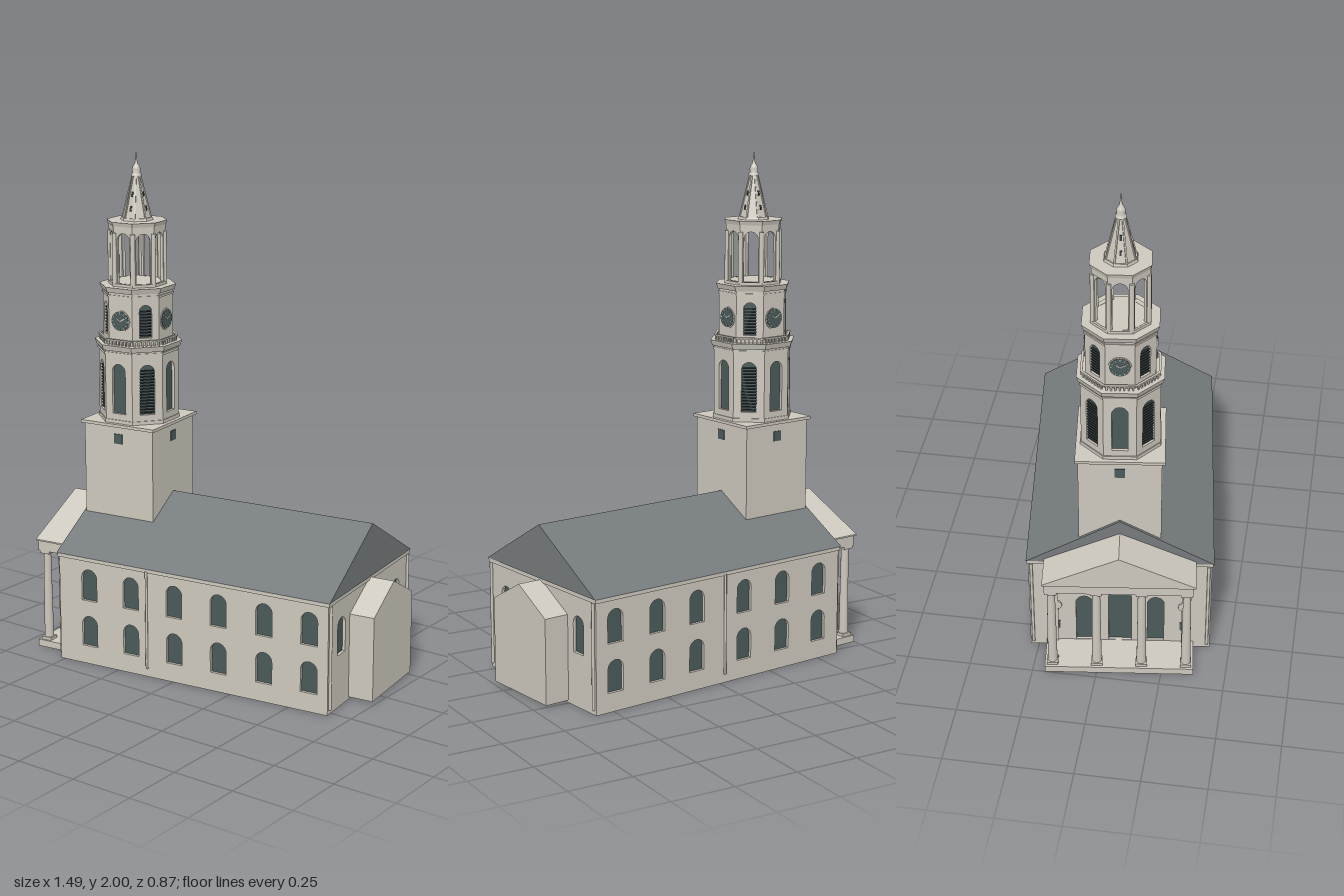
import * as THREE from 'three';

const mat = (name, color) => Object.assign(new THREE.MeshStandardMaterial({ color }), { name });

export function createModel() {
  const stone = mat('stone', 0xcdc8bd);
  const slate = mat('slate', 0x757a7c);
  const glass = mat('glass', 0x4a5a5a);
  const dark = mat('dark louvre', 0x2c3535);

  const model = new THREE.Group();
  model.name = 'church';
  // The whole building is turned slightly on its plot
  const site = new THREE.Group();
  site.name = 'building';
  site.position.set(0.03, 0, -0.0025);
  site.rotation.y = 0.12;
  model.add(site);

  const add = (parent, name, geo, material, x = 0, y = 0, z = 0) => {
    const m = new THREE.Mesh(geo, material);
    m.name = name;
    m.position.set(x, y, z);
    parent.add(m);
    return m;
  };
  // Box given by its ranges
  const block = (parent, name, material, x0, x1, y0, y1, z0, z1) =>
    add(parent, name, new THREE.BoxGeometry(x1 - x0, y1 - y0, z1 - z0), material,
      (x0 + x1) / 2, (y0 + y1) / 2, (z0 + z1) / 2);
  // Flat-sided octagon with its flats facing the axes
  const octagon = (parent, name, material, rTop, rBottom, y0, y1) => {
    const g = new THREE.CylinderGeometry(rTop, rBottom, y1 - y0, 8).rotateY(Math.PI / 8).toNonIndexed();
    g.computeVertexNormals();
    return add(parent, name, g, material, 0, (y0 + y1) / 2, 0);
  };
  // Outline of a round-headed opening
  const arch = (Type, x, y0, y1, w) => {
    const p = new Type(), r = w / 2;
    p.moveTo(x - r, y0);
    p.lineTo(x + r, y0);
    p.lineTo(x + r, y1 - r);
    p.absarc(x, y1 - r, r, 0, Math.PI, false);
    p.closePath();
    return p;
  };
  const extrude = (shape, depth) =>
    new THREE.ExtrudeGeometry(shape, { depth, bevelEnabled: false, curveSegments: 8 });
  // Wall slab pierced by openings; openings are [x, y0, y1, width]
  const panel = (width, y0, y1, openings, depth) => {
    const s = new THREE.Shape();
    s.moveTo(-width / 2, y0);
    s.lineTo(width / 2, y0);
    s.lineTo(width / 2, y1);
    s.lineTo(-width / 2, y1);
    s.closePath();
    openings.forEach(o => s.holes.push(arch(THREE.Path, ...o)));
    return extrude(s, depth);
  };
  // Pivot whose +z points out of a wall
  const facing = (parent, name, angle) => {
    const g = new THREE.Group();
    g.name = name;
    g.rotation.y = angle;
    parent.add(g);
    return g;
  };
  // Solid with a gabled outline, running along x
  const gable = (name, material, half, yBase, yEave, yRidge, x0, x1) => {
    const s = new THREE.Shape();
    s.moveTo(-half, yBase);
    s.lineTo(half, yBase);
    if (yEave > yBase) s.lineTo(half, yEave);
    s.lineTo(0, yRidge);
    if (yEave > yBase) s.lineTo(-half, yEave);
    s.closePath();
    add(site, name, extrude(s, x1 - x0).rotateY(Math.PI / 2), material, x0);
  };

  // Nave: glazed core behind pierced walls
  const L = 0.595, W = 0.355, T = 0.012;
  block(site, 'naveGlazing', glass, -L + T, L - T, 0.02, 0.43, -W + T, W - T);
  block(site, 'naveFloor', stone, -L, L, 0, 0.02, -W, W);
  const rows = xs => xs.flatMap(x => [[x, 0.075, 0.2, 0.07], [x, 0.265, 0.395, 0.07]]);
  const south = rows([-0.456, -0.264, -0.068, 0.128, 0.325, 0.516]);
  const north = rows([-0.507, -0.314, -0.125, 0.107, 0.3, 0.49]);
  const east = [-0.243, 0.243].map(x => [x, 0.21, 0.355, 0.066]);
  const west = [[0, 0.03, 0.3, 0.09], [-0.14, 0.03, 0.26, 0.065], [0.14, 0.03, 0.26, 0.065]];
  const wallSpecs = [
    ['southWall', 0, 2 * L, W, south, -0.19],
    ['eastWall', Math.PI / 2, 2 * W, L, east, null],
    ['northWall', Math.PI, 2 * L, W, north, 0.01],
    ['westWall', -Math.PI / 2, 2 * W, L, west, null],
  ];
  for (const [name, angle, width, dist, openings, pipe] of wallSpecs) {
    const f = facing(site, name, angle);
    add(f, name + 'Slab', panel(width, 0, 0.44, openings, T), stone, 0, 0, dist - T);
    if (pipe !== null)
      add(f, 'downpipe', new THREE.CylinderGeometry(0.005, 0.005, 0.4, 8), stone, pipe, 0.235, dist + 0.004);
    // Round plaque and little window beside the doors
    if (name === 'westWall') for (const s of [-1, 1]) {
      add(f, 'plaque', new THREE.CylinderGeometry(0.022, 0.022, 0.008, 20).rotateX(Math.PI / 2), stone, s * 0.25, 0.215, dist + 0.003);
      add(f, 'smallWindow', new THREE.BoxGeometry(0.03, 0.04, 0.006), glass, s * 0.25, 0.11, dist);
    }
  }
  for (const sx of [-1, 1]) for (const sz of [-1, 1])
    add(site, 'cornerPipe', new THREE.CylinderGeometry(0.006, 0.006, 0.41, 8), stone, sx * (L + 0.005), 0.225, sz * (W - 0.012));
  block(site, 'naveCornice', stone, -0.6, 0.6, 0.43, 0.446, -0.36, 0.36);
  gable('naveRoof', slate, 0.363, 0.446, 0.446, 0.655, -0.603, 0.603);

  // East annex
  gable('annex', stone, 0.174, 0.01, 0.345, 0.44, 0.58, 0.696);

  // Portico
  block(site, 'porticoFloor', stone, -0.75, -0.58, 0, 0.028, -0.29, 0.29);
  block(site, 'entablature', stone, -0.743, -0.58, 0.41, 0.455, -0.285, 0.285);
  gable('pediment', stone, 0.293, 0.452, 0.458, 0.595, -0.75, -0.58);
  for (const z of [-0.26, -0.087, 0.087, 0.26]) {
    add(site, 'column', new THREE.CylinderGeometry(0.015, 0.019, 0.37, 16), stone, -0.718, 0.22, z);
    for (const y of [0.034, 0.404])
      add(site, 'columnBlock', new THREE.BoxGeometry(0.044, 0.012, 0.044), stone, -0.718, y, z);
  }
  for (const z of [-0.26, 0.26])
    block(site, 'pilaster', stone, -0.605, -0.59, 0.028, 0.41, z - 0.018, z + 0.018);

  // Square tower
  const tower = new THREE.Group();
  tower.name = 'tower';
  tower.position.x = -0.436;
  site.add(tower);
  block(tower, 'towerShaft', stone, -0.157, 0.157, 0.4, 0.936, -0.157, 0.157);
  block(tower, 'towerCornice', stone, -0.168, 0.168, 0.934, 0.946, -0.168, 0.168);
  for (let i = 0; i < 4; i++)
    add(facing(tower, 'towerFace', i * Math.PI / 2), 'towerWindow',
      new THREE.BoxGeometry(0.038, 0.04, 0.006), glass, 0, 0.885, 0.157);

  // One octagonal storey with pierced faces; core is null when open
  const cos8 = Math.cos(Math.PI / 8);
  const storey = (name, R, y0, y1, core, opening, detail) => {
    const a = R * cos8, side = 2 * R * Math.sin(Math.PI / 8);
    if (core) octagon(tower, name + 'Core', core, R - 0.014, R - 0.014, y0, y1);
    for (let i = 0; i < 8; i++) {
      const f = facing(tower, name + 'Face', i * Math.PI / 4);
      const o = opening(i);
      add(f, name + 'Wall', panel(side, y0, y1, o ? [o] : [], 0.012), stone, 0, 0, a - 0.012);
      if (detail) detail(f, i, a, o);
    }
  };
  const louvres = (f, a, [, y0, y1, w]) => {
    for (let y = y0 + 0.008; y < y1 - w * 0.3; y += 0.012)
      add(f, 'louvre', new THREE.BoxGeometry(w, 0.004, 0.01), dark, 0, y, a - 0.009);
  };

  // Belfry
  octagon(tower, 'belfryBase', stone, 0.164, 0.164, 0.945, 0.96);
  storey('belfry', 0.16, 0.945, 1.24, glass, () => [0, 0.985, 1.185, 0.06],
    (f, i, a, o) => { if (i % 2) louvres(f, a, o); });
  octagon(tower, 'belfryFrieze', stone, 0.164, 0.164, 1.222, 1.232);
  octagon(tower, 'belfryCornice', stone, 0.175, 0.168, 1.238, 1.26);

  // Clock storey with a low balustrade
  storey('clock', 0.14, 1.255, 1.468, glass, i => i % 2 ? [0, 1.29, 1.42, 0.05] : null, (f, i, a, o) => {
    if (o) louvres(f, a, o);
    else {
      const disc = (n, r, d, m) => add(f, n, new THREE.CylinderGeometry(r, r, d, 28).rotateX(Math.PI / 2), m, 0, 1.355, a);
      disc('clockRim', 0.043, 0.006, stone);
      disc('clockFace', 0.039, 0.009, glass);
      for (let k = 0; k < 12; k++) {
        const t = k * Math.PI / 6;
        const tick = add(f, 'hourMark', new THREE.BoxGeometry(0.003, 0.007, 0.002), stone,
          Math.sin(t) * 0.032, 1.355 + Math.cos(t) * 0.032, a + 0.005);
        tick.rotation.z = -t;
      }
      for (const [len, t] of [[0.026, 1.1], [0.019, -0.9]]) {
        const hand = add(f, 'clockHand', new THREE.BoxGeometry(0.004, len, 0.002), stone,
          Math.sin(t) * len / 2, 1.355 + Math.cos(t) * len / 2, a + 0.005);
        hand.rotation.z = -t;
      }
    }
    for (let k = -3; k <= 3; k++)
      add(f, 'baluster', new THREE.BoxGeometry(0.006, 0.02, 0.006), stone, k * 0.016, 1.268, 0.143);
    add(f, 'balustradeRail', new THREE.BoxGeometry(0.12, 0.006, 0.009), stone, 0, 1.28, 0.143);
  });
  octagon(tower, 'clockFrieze', stone, 0.144, 0.144, 1.448, 1.456);
  octagon(tower, 'clockCornice', stone, 0.153, 0.146, 1.465, 1.486);

  // Open lantern
  octagon(tower, 'lanternFloor', stone, 0.118, 0.118, 1.485, 1.497);
  storey('lantern', 0.11, 1.486, 1.73, null, () => [0, 1.498, 1.695, 0.056], (f, i, a) => {
    const t = Math.PI / 8;
    add(f, 'lanternColumn', new THREE.CylinderGeometry(0.009, 0.01, 0.2, 12), stone,
      Math.sin(t) * 0.108, 1.595, Math.cos(t) * 0.108);
  });
  octagon(tower, 'lanternFrieze', stone, 0.113, 0.113, 1.7, 1.722);
  octagon(tower, 'lanternCornice', stone, 0.12, 0.115, 1.722, 1.738);

  // Spire with ribs, slits and finial
  octagon(tower, 'spireBase', stone, 0.062, 0.066, 1.736, 1.748);
  octagon(tower, 'spire', stone, 0.015, 0.057, 1.746, 1.912);
  const lean = Math.atan2(0.042, 0.166);
  for (let i = 0; i < 8; i++) {
    const rib = add(facing(tower, 'spireEdge', (i + 0.5) * Math.PI / 4), 'spireRib',
      new THREE.BoxGeometry(0.006, 0.17, 0.006), stone, 0, 1.829, 0.036);
    rib.rotation.x = -lean;
    if (i % 2 === 0) for (const y of [1.785, 1.84]) {
      const r = (0.057 - 0.042 * (y - 1.746) / 0.166) * cos8;
      const slit = add(facing(tower, 'spireFace', i * Math.PI / 4), 'spireSlit',
        new THREE.BoxGeometry(0.008, 0.02, 0.004), dark, 0, y, r);
      slit.rotation.x = -lean * cos8;
    }
  }
  const finial = [[0.021, 1.908], [0.021, 1.916], [0.015, 1.92], [0.017, 1.935], [0.014, 1.945],
    [0.006, 1.957], [0.004, 1.97], [0.002, 2], [0, 2]].map(p => new THREE.Vector2(...p));
  add(tower, 'finial', new THREE.LatheGeometry(finial, 16), stone);

  return model;
}
